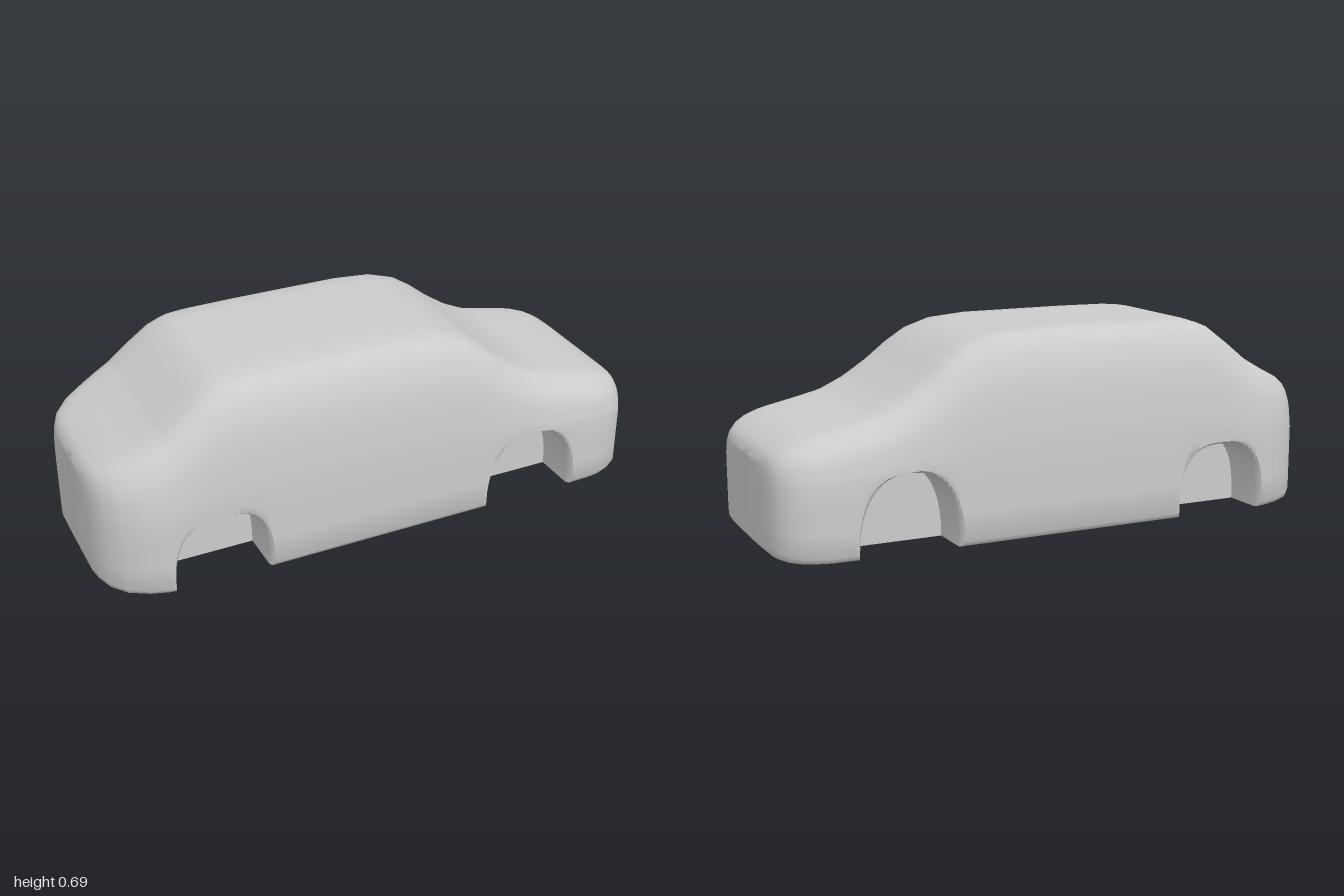
import * as THREE from 'three';
import { toCreasedNormals } from 'three/addons/utils/BufferGeometryUtils.js';

// Body outline along the length: x, roof height, half width, underside height
const OUTLINE = [
  [-1, 0.38, 0.19, 0.025], [-0.99, 0.41, 0.235, 0.018], [-0.97, 0.43, 0.285, 0.012],
  [-0.925, 0.455, 0.335, 0.006], [-0.86, 0.485, 0.367, 0.002], [-0.8, 0.517, 0.384, 0],
  [-0.76, 0.54, 0.388, 0], [-0.68, 0.605, 0.392, 0], [-0.6, 0.665, 0.392, 0],
  [-0.54, 0.685, 0.392, 0], [-0.47, 0.69, 0.392, 0], [-0.3, 0.692, 0.392, 0],
  [0.1, 0.691, 0.392, 0], [0.24, 0.679, 0.392, 0], [0.33, 0.65, 0.392, 0],
  [0.4, 0.605, 0.392, 0], [0.47, 0.549, 0.392, 0], [0.56, 0.489, 0.392, 0],
  [0.65, 0.446, 0.392, 0], [0.75, 0.422, 0.392, 0], [0.83, 0.405, 0.389, 0],
  [0.87, 0.396, 0.385, 0.002], [0.92, 0.38, 0.367, 0.004], [0.955, 0.362, 0.345, 0.008],
  [0.98, 0.343, 0.31, 0.014], [0.99, 0.33, 0.285, 0.018], [1, 0.305, 0.2, 0.025],
];

// Rounded shoulder from the waistline to the roof: rise fraction, width fraction
const SHOULDER = [
  [0, 1], [0.15, 0.988], [0.3, 0.975], [0.44, 0.96], [0.6, 0.932], [0.71, 0.897],
  [0.83, 0.85], [0.917, 0.795], [0.965, 0.735], [0.992, 0.667], [1, 0.51], [1, 0.25], [1, 0],
];

// Wheel arches: centre, half length, height and squareness of the curve
const ARCHES = [
  { x: -0.607, r: 0.165, h: 0.252, n: 2.8 },
  { x: 0.565, r: 0.172, h: 0.268, n: 2.4 },
];
const WELL_Z = 0.21;
const LIP = 0.01;

function outlineAt(x) {
  let i = 0;
  while (i < OUTLINE.length - 2 && OUTLINE[i + 1][0] < x) i++;
  const [p, q] = [OUTLINE[i], OUTLINE[i + 1]];
  const t = (x - p[0]) / (q[0] - p[0]);
  return p.map((v, k) => THREE.MathUtils.lerp(v, q[k], t));
}

// Stations: the outline points away from the wheels, plus a fan of points around each arch
function makeStations() {
  const list = OUTLINE.map((p) => p[0])
    .filter((x) => ARCHES.every((a) => Math.abs(x - a.x) > a.r + 0.02))
    .map((x) => ({ x, arch: 0, flare: 0, lift: 0.025 }));
  const steps = 24;
  for (const a of ARCHES) {
    for (const side of [-1, 1]) {
      list.push({ x: a.x + side * (a.r + 0.025), arch: 0, flare: 0, lift: 0.025 });
    }
    for (let i = 0; i <= steps; i++) {
      const c = -Math.cos((i / steps) * Math.PI);
      const s = Math.max(0, Math.sin((i / steps) * Math.PI));
      list.push({
        x: a.x + a.r * Math.sign(c) * Math.abs(c) ** (2 / a.n),
        arch: a.h * s ** (2 / a.n),
        flare: LIP * c,
        lift: 0.025 - 0.013 * s,
      });
    }
  }
  return list.sort((p, q) => p.x - q.x);
}

// Closed cross-section at one station; squeeze 0 closes the end of the body
function section({ x, arch, flare, lift }, squeeze = 1) {
  const [, top, halfWidth, under] = outlineAt(x);
  const w = halfWidth * squeeze;
  const well = Math.min(WELL_Z * squeeze, w * 0.6);
  const a = Math.max(under, arch);
  const half = [
    [x, under, 0], [x, under, well * 0.5], [x, under, well], // floor
    [x, a, well], // inner wall of the wheel well
    [x, a + 0.002, w * 0.92], // ceiling of the wheel well
    [x + flare * 0.4, a + lift * 0.3, w * 0.97], [x + flare, a + lift, w], // lip or sill
  ];
  const waist = 0.26 + (top - 0.4) * 0.24;
  const sillTop = Math.min(a + lift, waist - 0.005);
  half[6][1] = sillTop;
  for (const t of [0.33, 0.67]) {
    half.push([x + flare * (1 - t), THREE.MathUtils.lerp(sillTop, waist, t), w]);
  }
  for (const [rise, width] of SHOULDER) half.push([x, waist + (top - waist) * rise, w * width]);
  const mirrored = half.slice(1, -1).reverse().map(([px, py, pz]) => [px, py, -pz]);
  return [...half, ...mirrored];
}

// Skin a row of closed cross-sections
function loft(rings) {
  const n = rings[0].length;
  const index = [];
  for (let i = 0; i < rings.length - 1; i++) {
    for (let j = 0; j < n; j++) {
      const a = i * n + j;
      const b = i * n + ((j + 1) % n);
      index.push(a, a + n, b, b, a + n, b + n);
    }
  }
  const geometry = new THREE.BufferGeometry();
  geometry.setAttribute('position', new THREE.Float32BufferAttribute(rings.flat(2), 3));
  geometry.setIndex(index);
  return toCreasedNormals(geometry, 0.9);
}

export function createModel() {
  const group = new THREE.Group();
  group.name = 'car';
  const stations = makeStations();
  const rings = [
    section(stations[0], 0),
    ...stations.map((s) => section(s)),
    section(stations[stations.length - 1], 0),
  ];
  const body = new THREE.Mesh(loft(rings), new THREE.MeshStandardMaterial({ color: 0xcccccc }));
  body.name = 'carBody';
  group.add(body);
  return group;
}
